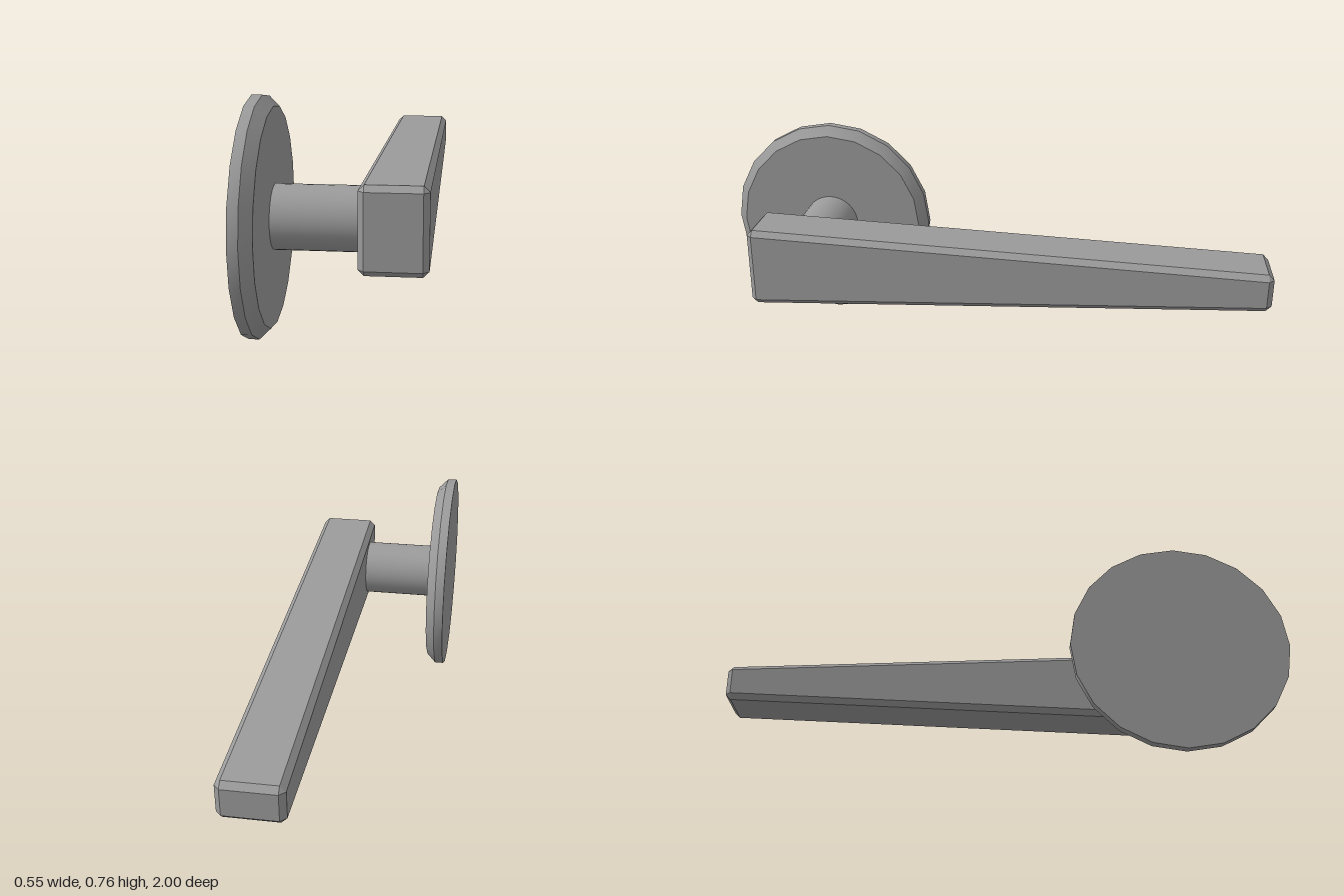
import * as THREE from 'three';
import { toCreasedNormals } from 'three/addons/utils/BufferGeometryUtils.js';
import { ConvexGeometry } from 'three/addons/geometries/ConvexGeometry.js';

const AXIS_Y = 0.378; // height of the spindle axis
const AXIS_Z = 0.622;

// Box with chamfered edges: each corner gives one point per adjoining face.
// The height tapers along z from front to back.
function taperedChamferBox(width, length, frontHalf, backHalf, c) {
  const hx = width / 2, hz = length / 2;
  const points = [];
  for (const sx of [-1, 1]) for (const sy of [-1, 1]) for (const sz of [-1, 1]) {
    const half = sz > 0 ? frontHalf : backHalf;
    points.push(
      new THREE.Vector3(sx * hx, sy * (half - c), sz * (hz - c)),
      new THREE.Vector3(sx * (hx - c), sy * half, sz * (hz - c)),
      new THREE.Vector3(sx * (hx - c), sy * (half - c), sz * hz),
    );
  }
  return new ConvexGeometry(points);
}

export function createModel() {
  const group = new THREE.Group();
  const material = new THREE.MeshStandardMaterial({ color: 0x9b9b9b });
  const add = (name, geometry, x, y, z) => {
    const mesh = new THREE.Mesh(geometry, material);
    mesh.name = name;
    mesh.position.set(x, y, z);
    group.add(mesh);
  };

  // Round wall plate with a chamfered outer edge, turned to face +x
  const profile = [[0, 0], [0.378, 0], [0.378, 0.033], [0.344, 0.067], [0, 0.067]]
    .map(([r, h]) => new THREE.Vector2(r, h));
  const plate = toCreasedNormals(new THREE.LatheGeometry(profile, 20), 0.5);
  plate.rotateZ(-Math.PI / 2);
  add('wallPlate', plate, -0.276, AXIS_Y, AXIS_Z);

  // Spindle between plate and lever
  const spindle = new THREE.CylinderGeometry(0.103, 0.103, 0.273, 40);
  spindle.rotateZ(-Math.PI / 2);
  add('spindle', spindle, -0.0735, AXIS_Y, AXIS_Z);

  // Long lever, thinner towards the back
  add('lever', taperedChamferBox(0.212, 1.796, 0.138, 0.066, 0.019), 0.169, 0.382, -0.102);

  return group;
}
